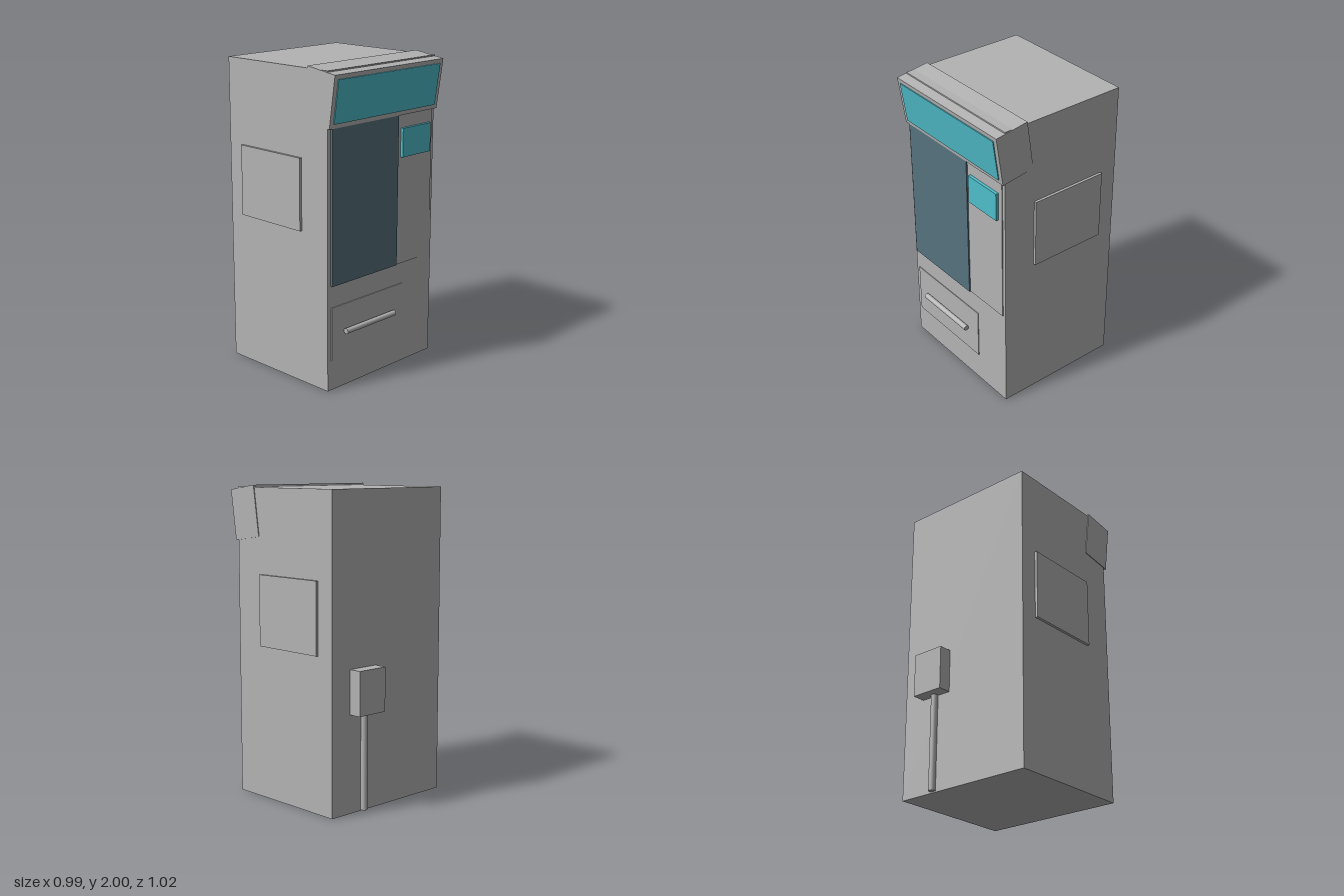
import * as THREE from 'three';

const grey = new THREE.MeshStandardMaterial({ name: 'greyMetal', color: 0xb3b3b3 });
const teal = new THREE.MeshStandardMaterial({ name: 'litTeal', color: 0x4fbecb });
const glass = new THREE.MeshStandardMaterial({ name: 'darkGlass', color: 0x56727d });

// Box given by its minimum and maximum on each axis
function box(name, material, [x0, x1], [y0, y1], [z0, z1]) {
  const mesh = new THREE.Mesh(new THREE.BoxGeometry(x1 - x0, y1 - y0, z1 - z0), material);
  mesh.name = name;
  mesh.position.set((x0 + x1) / 2, (y0 + y1) / 2, (z0 + z1) / 2);
  return mesh;
}

function rod(name, radius, length) {
  const mesh = new THREE.Mesh(new THREE.CylinderGeometry(radius, radius, length, 24), grey);
  mesh.name = name;
  return mesh;
}

export function createModel() {
  const model = new THREE.Group();
  model.name = 'vendingMachine';

  // Cabinet and the thin plates on its front
  model.add(
    box('cabinet', grey, [-0.48, 0.48], [0, 1.987], [-0.425, 0.44]),
    box('controlPanel', grey, [0.13, 0.457], [0.68, 1.655], [0.438, 0.446]),
    box('displayWindow', glass, [-0.455, 0.13], [0.68, 1.655], [0.438, 0.455]),
    box('screen', teal, [0.16, 0.425], [1.38, 1.565], [0.438, 0.465]),
    box('deliveryFlap', grey, [-0.45, 0.2], [0.195, 0.54], [0.438, 0.445])
  );

  // Header box leaning forward, with its lit sign
  const header = new THREE.Group();
  header.name = 'header';
  header.position.set(0, 1.825, 0.37);
  header.rotation.x = 0.143;
  header.add(
    box('headerBox', grey, [-0.485, 0.485], [-0.162, 0.162], [-0.113, 0.113]),
    box('headerSign', teal, [-0.455, 0.455], [-0.134, 0.134], [0.112, 0.119])
  );
  model.add(header);

  // Flap handle
  const handle = rod('flapHandle', 0.018, 0.445);
  handle.rotation.z = Math.PI / 2;
  handle.position.set(-0.123, 0.367, 0.465);
  model.add(handle);

  // Side panels
  for (const s of [-1, 1]) {
    const panel = box('sidePanel', grey, [-0.01, 0.01], [0.99, 1.445], [-0.305, 0.22]);
    panel.position.x = s * 0.487;
    model.add(panel);
  }

  // Power box and conduit on the back
  model.add(box('powerBox', grey, [0.11, 0.33], [0.625, 0.905], [-0.51, -0.424]));
  const conduit = rod('conduit', 0.022, 0.62);
  conduit.position.set(0.22, 0.318, -0.439);
  model.add(conduit);

  return model;
}
